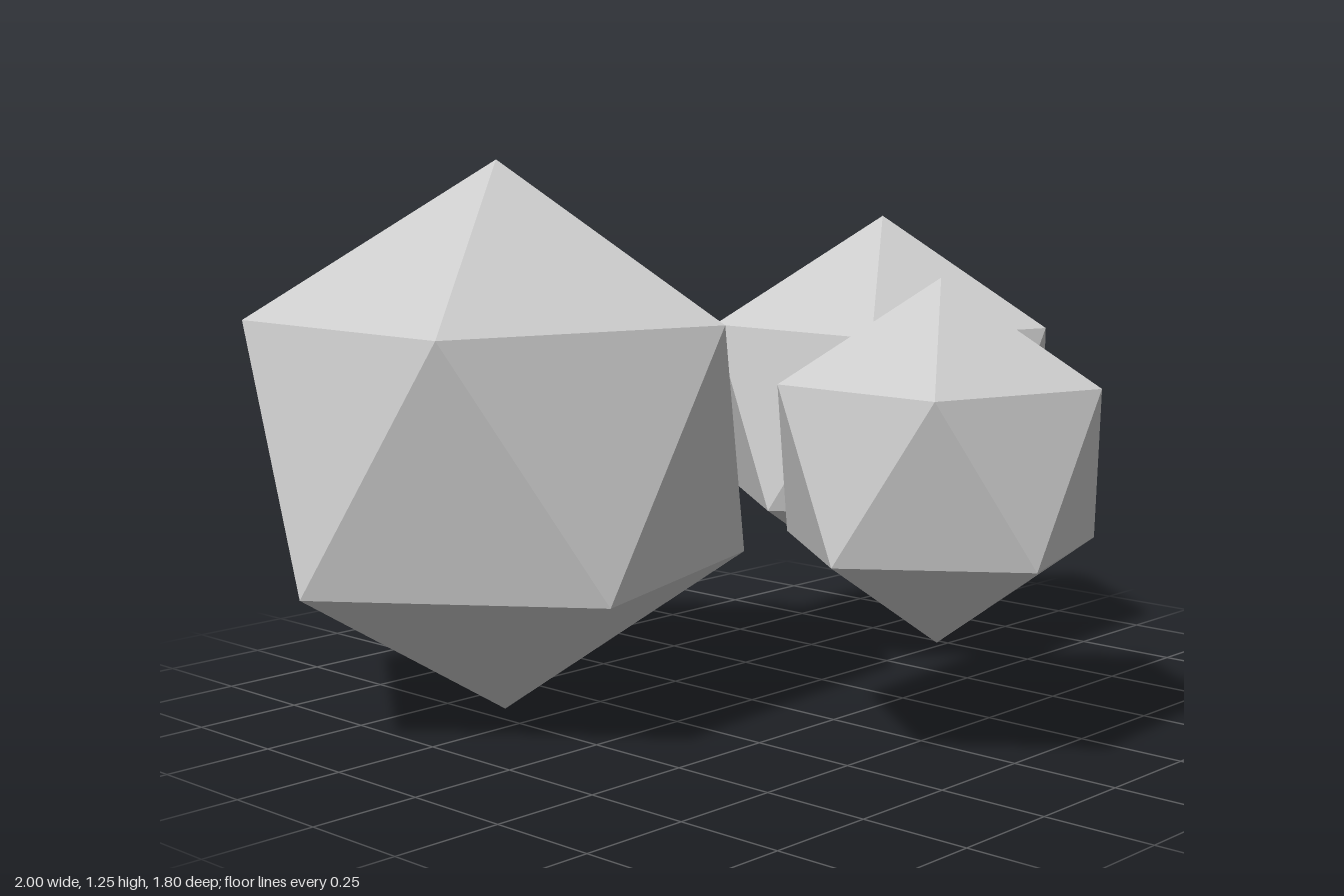
import * as THREE from 'three';

const material = new THREE.MeshStandardMaterial({ color: 0xcccccc, flatShading: true });

// Icosahedron standing on one corner, with an upper-ring corner pointing to +x
function icosahedron(name, radius, x, y, z) {
  const golden = (1 + Math.sqrt(5)) / 2;
  const geometry = new THREE.IcosahedronGeometry(radius, 0);
  geometry.rotateZ(-Math.atan(1 / golden));
  const mesh = new THREE.Mesh(geometry, material);
  mesh.name = name;
  mesh.position.set(x, y, z);
  return mesh;
}

export function createModel() {
  const group = new THREE.Group();
  group.name = 'icosahedronCluster';
  const centreY = 0.627;
  group.add(
    icosahedron('largeIcosahedron', 0.627, -0.44, centreY, -0.367),
    icosahedron('mediumIcosahedron', 0.474, 0.574, centreY + 0.002, -0.086),
    icosahedron('smallIcosahedron', 0.39, -0.036, centreY, 0.567)
  );
  return group;
}
